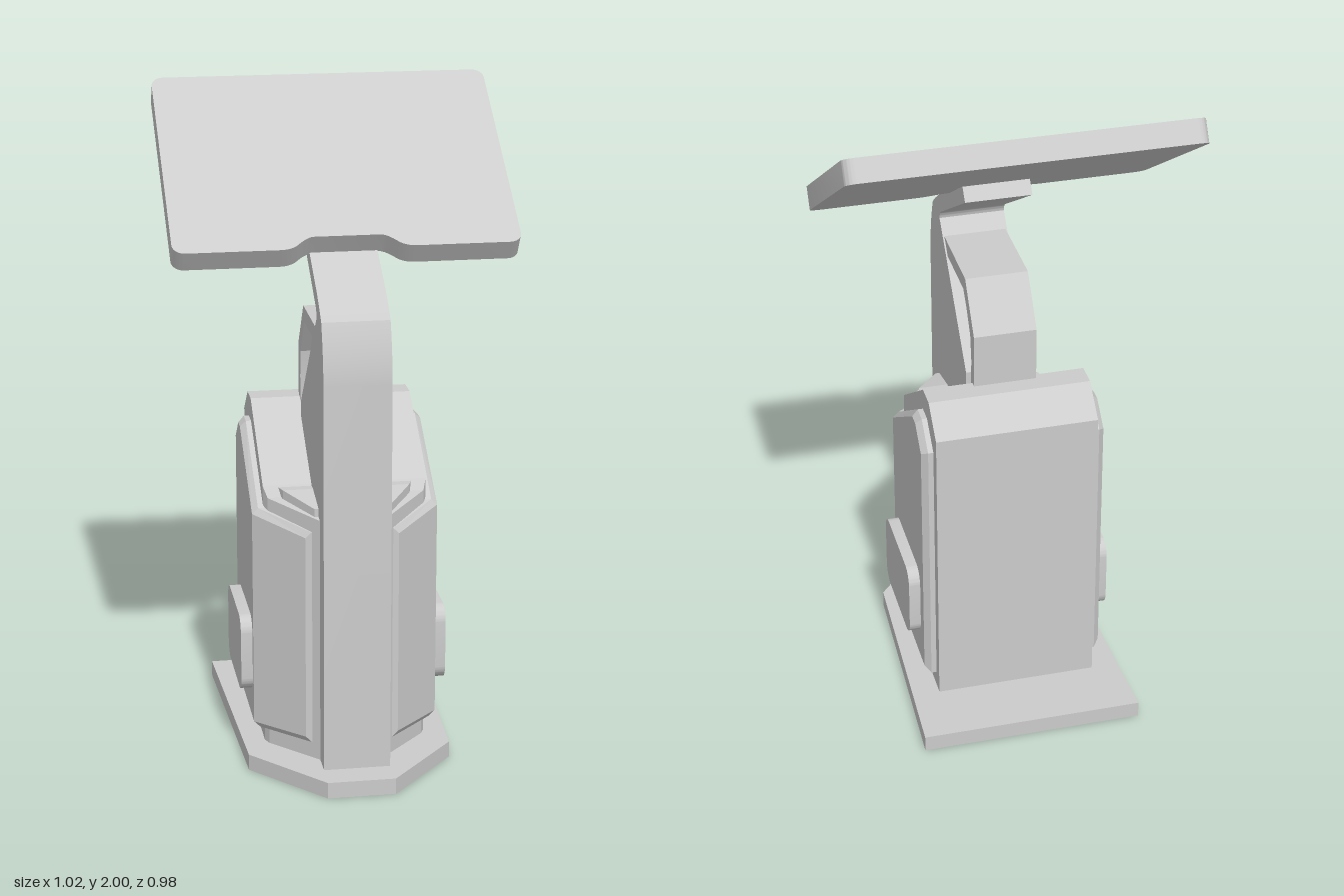
import * as THREE from 'three';
import { toCreasedNormals } from 'three/addons/utils/BufferGeometryUtils.js';

const material = new THREE.MeshStandardMaterial({ color: 0xcccccc });

function part(name, geometry, parent) {
  const mesh = new THREE.Mesh(geometry, material);
  mesh.name = name;
  parent.add(mesh);
  return mesh;
}

function polygon(points) {
  return new THREE.Shape(points.map(([a, b]) => new THREE.Vector2(a, b)));
}

// Extrudes a side profile given in (z, y) across x, centred on x = 0
function sideExtrude(shape, width, options = {}) {
  const g = new THREE.ExtrudeGeometry(shape, { depth: width, bevelEnabled: false, curveSegments: 10, ...options });
  g.translate(0, 0, -width / 2);
  g.rotateY(-Math.PI / 2);
  return toCreasedNormals(g, 0.4);
}

function flatGeometry(triangles) {
  const g = new THREE.BufferGeometry();
  g.setAttribute('position', new THREE.Float32BufferAttribute(triangles.flat(2), 3));
  g.computeVertexNormals();
  return g;
}

// Rectangular sections along z: [z, half width, bottom y, top y]
function loft(sections) {
  const tris = [];
  const rings = sections.map(([z, w, b, t]) => [[-w, b, z], [w, b, z], [w, t, z], [-w, t, z]]);
  const quad = (a, b, c, d) => tris.push([a, b, c], [a, c, d]);
  for (let i = 0; i < rings.length - 1; i++) {
    const r = rings[i], s = rings[i + 1];
    for (let k = 0; k < 4; k++) {
      const n = (k + 1) % 4;
      quad(r[k], r[n], s[n], s[k]);
    }
  }
  const first = rings[0], last = rings[rings.length - 1];
  quad(first[3], first[2], first[1], first[0]);
  quad(last[0], last[1], last[2], last[3]);
  return flatGeometry(tris);
}

// Bevelled panel wrapping the front corner; side is +1 or -1
function panelGeometry(side) {
  const ring = (x, inset, wingX, wingZ) => {
    const i = inset;
    return [
      [x, 0.1 + i, 0.165], [x, 0.1 + i, -0.25 + i], [x, 0.92 - i * 0.6, -0.25 + i],
      [x, 0.99 - i, -0.17 + i * 0.5], [x, 0.99 - i, -0.115 - i * 0.3], [x, 0.805 - i, 0.165],
      [wingX, 0.77 - i, wingZ], [wingX, 0.1 + i, wingZ],
    ].map(([px, y, z]) => [px * side, y, z]);
  };
  const rings = [ring(0.24, 0, 0.105, 0.295), ring(0.262, 0, 0.122, 0.304), ring(0.28, 0.018, 0.14, 0.302)];
  const tris = [];
  const add = (a, b, c) => tris.push(side > 0 ? [a, b, c] : [a, c, b]);
  for (let r = 0; r < 2; r++) {
    for (let k = 0; k < 8; k++) {
      const n = (k + 1) % 8, A = rings[r], B = rings[r + 1];
      add(A[k], A[n], B[n]);
      add(A[k], B[n], B[k]);
    }
  }
  const face = rings[2];
  for (let k = 1; k < 7; k++) add(face[0], face[k], face[k + 1]);
  return flatGeometry(tris);
}

function roundedRect(x0, y0, x1, y1, r) {
  const s = new THREE.Shape();
  s.absarc(x1 - r, y1 - r, r, 0, Math.PI / 2);
  s.absarc(x0 + r, y1 - r, r, Math.PI / 2, Math.PI);
  s.absarc(x0 + r, y0 + r, r, Math.PI, Math.PI * 1.5);
  s.absarc(x1 - r, y0 + r, r, Math.PI * 1.5, Math.PI * 2);
  return s;
}

export function createModel() {
  const model = new THREE.Group();
  model.name = 'kiosk';
  const stand = new THREE.Group();
  stand.name = 'stand';
  stand.position.x = -0.008;
  model.add(stand);

  // Floor plate with a tapered front
  part('basePlate', loft([
    [-0.49, 0.338, 0, 0.05], [0.255, 0.308, 0, 0.05], [0.49, 0.102, 0, 0.05],
  ]), stand);

  // Cabinet with sloping shoulders and angled front corners
  part('cabinet', loft([
    [-0.287, 0.246, 0.05, 0.98], [-0.195, 0.246, 0.05, 1.06], [-0.12, 0.246, 0.05, 1.06],
    [0.155, 0.246, 0.05, 0.87], [0.18, 0.235, 0.05, 0.84], [0.33, 0.095, 0.05, 0.81],
  ]), stand);
  part('shoulderInsert', loft([
    [0.16, 0.2, 0.8, 0.865], [0.19, 0.19, 0.8, 0.865], [0.3, 0.112, 0.8, 0.84],
  ]), stand);

  // Side panels and the pads mounted on them
  for (const side of [1, -1]) {
    const label = side > 0 ? 'left' : 'right';
    part(label + 'SidePanel', panelGeometry(side), stand);
    const pad = sideExtrude(roundedRect(-0.19, 0.205, 0.145, 0.445, 0.05), 0.06);
    part(label + 'SidePad', pad, stand).position.x = side * 0.285;
  }

  // Upright arm bending back beneath the screen
  const arm = new THREE.Shape();
  arm.moveTo(0.4, 0.05);
  arm.lineTo(0.4, 1.24);
  arm.quadraticCurveTo(0.397, 1.33, 0.36, 1.42);
  arm.quadraticCurveTo(0.33, 1.45, 0.27, 1.49);
  arm.lineTo(0.17, 1.548);
  arm.lineTo(-0.03, 1.672);
  arm.lineTo(-0.06, 1.635);
  arm.lineTo(0.25, 1.442);
  arm.quadraticCurveTo(0.268, 1.43, 0.27, 1.41);
  arm.lineTo(-0.06, 1.06);
  arm.lineTo(-0.06, 0.9);
  arm.lineTo(0.2, 0.05);
  part('arm', sideExtrude(arm, 0.2), stand);

  // Housing behind the arm: thin core inside a raised rim
  part('housingCore', sideExtrude(polygon([
    [0.22, 1.35], [-0.03, 1.35], [-0.13, 1.22], [-0.13, 1.03], [-0.06, 1.03],
  ]), 0.13), stand);
  part('housingRim', sideExtrude(polygon([
    [0.235, 1.368], [-0.035, 1.368], [-0.14, 1.228], [-0.14, 1.03], [-0.102, 1.03],
    [-0.106, 1.13], [-0.094, 1.21], [-0.02, 1.322], [0.188, 1.322],
  ]), 0.19), stand);

  // Tilted screen with a notch over the arm
  const w = 0.511, h = 0.73, r = 0.036;
  const screen = new THREE.Shape();
  screen.moveTo(-w + r, 0);
  screen.lineTo(-0.2, 0);
  screen.quadraticCurveTo(-0.17, 0, -0.15, 0.015);
  screen.quadraticCurveTo(-0.12, 0.045, -0.1, 0.048);
  screen.lineTo(0.1, 0.048);
  screen.quadraticCurveTo(0.12, 0.045, 0.15, 0.015);
  screen.quadraticCurveTo(0.17, 0, 0.2, 0);
  screen.absarc(w - r, r, r, -Math.PI / 2, 0);
  screen.absarc(w - r, h - r, r, 0, Math.PI / 2);
  screen.absarc(-w + r, h - r, r, Math.PI / 2, Math.PI);
  screen.absarc(-w + r, r, r, Math.PI, Math.PI * 1.5);
  const screenGeometry = toCreasedNormals(
    new THREE.ExtrudeGeometry(screen, { depth: 0.07, bevelEnabled: false, curveSegments: 6 }), 0.6);
  const display = part('screen', screenGeometry, model);
  display.rotation.x = -0.99;
  display.position.set(-0.003, 1.541, 0.172);

  return model;
}
